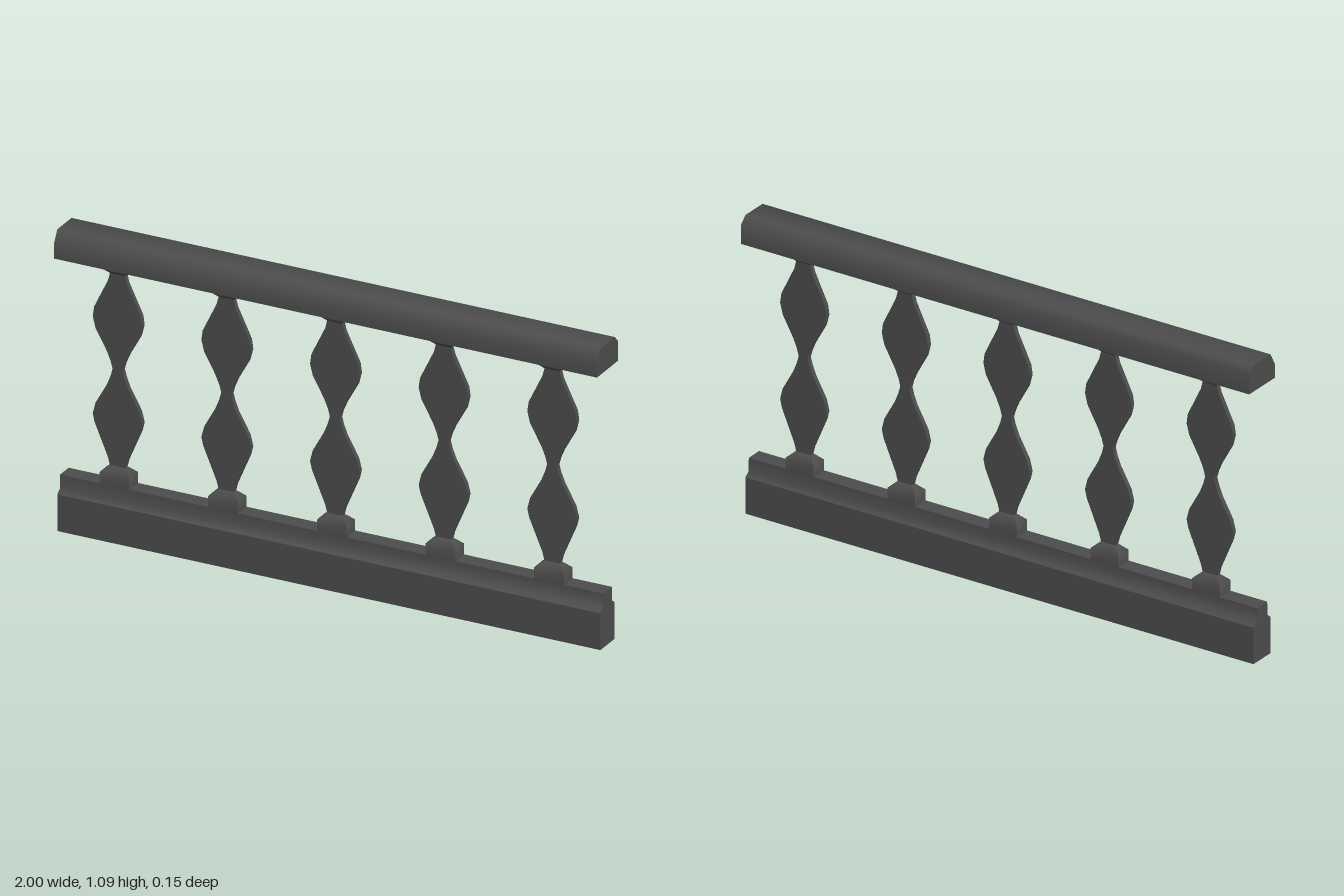
import * as THREE from 'three';
import { toCreasedNormals } from 'three/addons/utils/BufferGeometryUtils.js';

const material = new THREE.MeshStandardMaterial({ color: 0x4c4c4c });

function part(name, geometry) {
  const mesh = new THREE.Mesh(geometry, material);
  mesh.name = name;
  return mesh;
}

function extrude(points, depth, crease) {
  const shape = new THREE.Shape(points.map(([x, y]) => new THREE.Vector2(x, y)));
  const geometry = new THREE.ExtrudeGeometry(shape, { depth, bevelEnabled: false });
  geometry.translate(0, 0, -depth / 2);
  return toCreasedNormals(geometry, crease);
}

// Beam running along x, from a [z, y] cross-section
function beam(profile, crease) {
  return extrude(profile.map(([z, y]) => [-z, y]).reverse(), 2, crease).rotateY(Math.PI / 2);
}

// Rectangular block through sections of [height, half width, half depth], bottom to top
function sectionBlock(sections) {
  const steps = sections.length - 1;
  const geometry = new THREE.BoxGeometry(2, 2, 2, 1, steps, 1);
  const p = geometry.attributes.position;
  for (let i = 0; i < p.count; i++) {
    const [y, w, d] = sections[Math.round((p.getY(i) + 1) / 2 * steps)];
    p.setXYZ(i, p.getX(i) * w, y, p.getZ(i) * d);
  }
  return toCreasedNormals(geometry, 0.95);
}

export function createModel() {
  const group = new THREE.Group();
  group.name = 'balustrade';

  // Handrail with chamfered upper edges
  group.add(part('handrail', beam([
    [-0.075, 0.99], [0.075, 0.99], [0.075, 1.04], [0.05, 1.085], [-0.05, 1.085], [-0.075, 1.06],
  ], 1.13)));

  // Base rail: sharp lower shoulder, softened slope into the upper step
  group.add(part('baseRail', beam([
    [-0.05, 0], [0.05, 0], [0.05, 0.132], [0.032, 0.145], [0.03, 0.195],
    [-0.03, 0.195], [-0.032, 0.145], [-0.05, 0.132],
  ], 0.925)));

  // Flat double-bulb baluster outline: half width and height
  const half = [
    [0.026, 0.25], [0.035, 0.285], [0.084, 0.4], [0.091, 0.43], [0.081, 0.47], [0.039, 0.545],
    [0.025, 0.58], [0.018, 0.606], [0.025, 0.632], [0.039, 0.665], [0.081, 0.74], [0.091, 0.78],
    [0.086, 0.815], [0.035, 0.92], [0.026, 0.955],
  ];
  const outline = [...half, ...half.map(([x, y]) => [-x, y]).reverse()];
  const plate = extrude(outline, 0.018, 0.6);

  // Square foot and cap, each tapering to the plate
  const foot = sectionBlock([[0.19, 0.055, 0.03], [0.235, 0.055, 0.03], [0.258, 0.027, 0.009]]);
  const cap = sectionBlock([[0.948, 0.027, 0.009], [0.972, 0.055, 0.03], [0.993, 0.055, 0.03]]);

  for (let i = -2; i <= 2; i++) {
    const baluster = new THREE.Group();
    baluster.name = 'baluster';
    baluster.position.x = i * 0.4;
    baluster.add(part('balusterPlate', plate), part('foot', foot), part('cap', cap));
    group.add(baluster);
  }
  return group;
}
